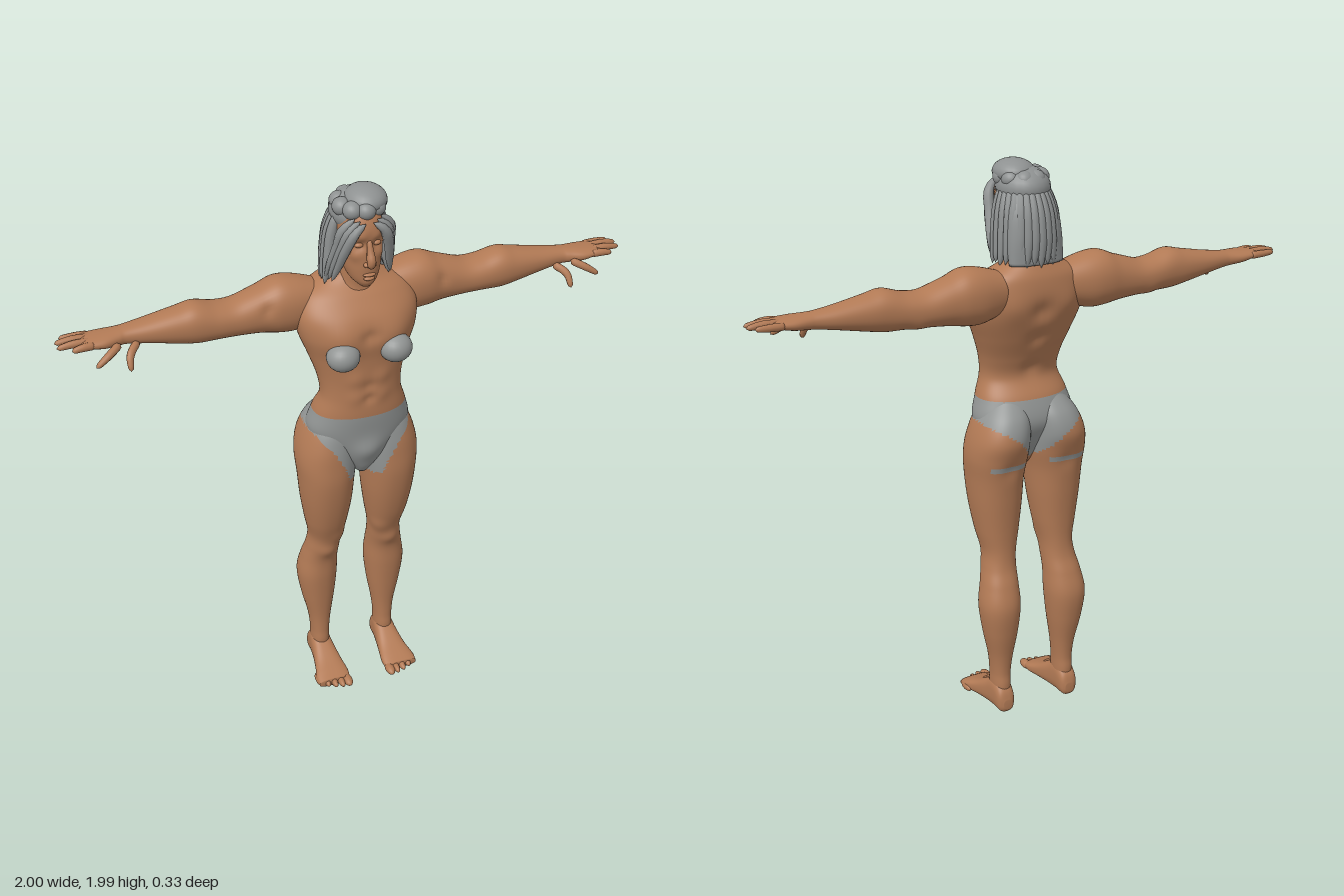
import * as THREE from 'three';
import { mergeVertices } from 'three/addons/utils/BufferGeometryUtils.js';

const mat = (name, color) => {
  const m = new THREE.MeshStandardMaterial({ color });
  m.name = name;
  return m;
};
const skin = mat('skin', 0xb27a55);
const cloth = mat('cloth', 0x929594);
const hair = mat('hair', 0x8e9191);

const spline = (a, b, c, d, t) =>
  b + 0.5 * t * (c - a + t * (2 * a - 5 * b + 4 * c - d + t * (3 * (b - c) + d - a)));

// Smooth loft along an axis (0 x, 1 y, 2 z). Row: [position, uMin, uMax, vMin, vMax],
// u and v being the next two axes. Bumps: [x, y, z, radius, push], mirrored in x.
function loft(axis, rows, { bumps = [], paint, power = 0.9, sub = 6, sides = 40 } = {}) {
  const pos = [], index = [[], []], u = (axis + 1) % 3, v = (axis + 2) % 3;
  const n = (rows.length - 1) * sub;
  for (let i = 0; i <= n; i++) {
    const k = Math.min(Math.floor(i / sub), rows.length - 2), t = i / sub - k;
    const at = (j) => rows[Math.max(0, Math.min(rows.length - 1, j))];
    const r = rows[0].map((_, c) => spline(at(k - 1)[c], at(k)[c], at(k + 1)[c], at(k + 2)[c], t));
    for (let j = 0; j < sides; j++) {
      const a = (j / sides) * Math.PI * 2, ca = Math.cos(a), sa = Math.sin(a), p = [0, 0, 0];
      p[axis] = r[0];
      p[u] = (r[1] + r[2]) / 2 + Math.sign(ca) * Math.abs(ca) ** power * (r[2] - r[1]) / 2;
      p[v] = (r[3] + r[4]) / 2 + Math.sign(sa) * Math.abs(sa) ** power * (r[4] - r[3]) / 2;
      let push = 0;
      for (const [x, y, z, rad, amt] of bumps)
        push += amt * Math.exp(-((Math.abs(p[0]) - x) ** 2 + (p[1] - y) ** 2 + (p[2] - z) ** 2) / (rad * rad));
      p[u] += ca * push;
      p[v] += sa * push;
      pos.push(...p);
    }
  }
  for (const e of [0, n]) {
    const c = [0, 0, 0], r = rows[e ? rows.length - 1 : 0];
    c[axis] = r[0]; c[u] = (r[1] + r[2]) / 2; c[v] = (r[3] + r[4]) / 2;
    pos.push(...c);
  }
  const tri = (...f) => {
    const mid = [0, 1, 2].map((c) => (pos[f[0] * 3 + c] + pos[f[1] * 3 + c] + pos[f[2] * 3 + c]) / 3);
    index[paint && paint(...mid) ? 1 : 0].push(...f);
  };
  const end = (n + 1) * sides;
  for (let j = 0; j < sides; j++) {
    const j2 = (j + 1) % sides;
    tri(end, j2, j);
    tri(end + 1, n * sides + j, n * sides + j2);
    for (let i = 0; i < n; i++) {
      const a = i * sides + j, b = i * sides + j2;
      tri(a, b, b + sides);
      tri(a, b + sides, a + sides);
    }
  }
  const g = new THREE.BufferGeometry();
  g.setAttribute('position', new THREE.Float32BufferAttribute(pos, 3));
  g.setIndex([...index[0], ...index[1]]);
  if (paint) {
    g.addGroup(0, index[0].length, 0);
    g.addGroup(index[0].length, index[1].length, 1);
  }
  g.computeVertexNormals();
  return g;
}

// Tapered tube with rounded ends; radii are spread evenly along the path
function strand(points, radii, segs = 14, sides = 10) {
  const curve = new THREE.CatmullRomCurve3(points.map((p) => new THREE.Vector3(...p)));
  let g = new THREE.TubeGeometry(curve, segs, 1, sides);
  const p = g.attributes.position, q = new THREE.Vector3();
  for (let i = 0; i <= segs; i++) {
    const t = i / segs, f = t * (radii.length - 1), k = Math.min(Math.floor(f), radii.length - 2);
    const r = (radii[k] + (radii[k + 1] - radii[k]) * (f - k)) * Math.sqrt(Math.max(0.002, 1 - Math.abs(2 * t - 1) ** 8));
    const c = curve.getPointAt(t);
    for (let j = 0; j <= sides; j++) {
      const id = i * (sides + 1) + j;
      q.fromBufferAttribute(p, id).sub(c).multiplyScalar(r).add(c);
      p.setXYZ(id, q.x, q.y, q.z);
    }
  }
  g.deleteAttribute('uv');
  g.deleteAttribute('normal');
  g = mergeVertices(g, 1e-5);
  g.computeVertexNormals();
  return g;
}

const blob = (x, y, z, rx, ry, rz) => new THREE.SphereGeometry(1, 24, 16).scale(rx, ry, rz).translate(x, y, z);

function mirrored(geo) {
  const g = geo.clone().scale(-1, 1, 1), a = g.index.array;
  for (let i = 0; i < a.length; i += 3) [a[i], a[i + 1]] = [a[i + 1], a[i]];
  return g;
}

const steps = (table, x) => {
  const i = Math.max(1, table.findIndex(([t]) => t >= x)), [x0, y0] = table[i - 1], [x1, y1] = table[i];
  return y0 + (y1 - y0) * Math.min(1, (x - x0) / (x1 - x0));
};
// Region covered by the briefs, with the thin band under each buttock
const frontEdge = [[0, 0.9], [0.06, 0.91], [0.08, 0.97], [0.12, 1.04], [0.17, 1.1], [0.5, 1.12]];
const backEdge = [[0, 0.95], [0.04, 1.0], [0.1, 1.065], [0.19, 1.11], [0.5, 1.12]];
const briefs = (x, y, z) => {
  const ax = Math.abs(x);
  if (z < -0.05 && y > 0.94 && y < 0.962 && ax > 0.05 && ax < 0.18) return true;
  return y < 1.18 && y > steps(z > 0 ? frontEdge : backEdge, ax);
};

export function createModel() {
  const model = new THREE.Group();
  const add = (name, geo, material) => {
    const m = new THREE.Mesh(geo, material);
    m.name = name;
    model.add(m);
  };
  const pair = (name, geo, material) => {
    add(name + 'Left', geo, material);
    add(name + 'Right', mirrored(geo), material);
  };
  const even = (rows) => rows.map(([y, zb, zf, w]) => [y, zb, zf, -w, w]);

  // Torso with chest, belly, spine and shoulder blade relief
  add('torso', loft(1, even([
    [0.92, -0.03, 0.06, 0.025], [0.96, -0.06, 0.085, 0.055], [1.03, -0.1, 0.1, 0.13], [1.1, -0.125, 0.108, 0.182],
    [1.18, -0.105, 0.115, 0.166], [1.25, -0.068, 0.113, 0.143], [1.32, -0.085, 0.112, 0.15], [1.4, -0.12, 0.115, 0.176],
    [1.48, -0.15, 0.122, 0.205], [1.55, -0.16, 0.105, 0.212], [1.61, -0.155, 0.06, 0.185], [1.65, -0.14, 0.02, 0.12],
    [1.685, -0.12, 0, 0.05]]), {
    paint: briefs, sub: 9, sides: 64,
    bumps: [[0.09, 1.49, 0.12, 0.06, 0.012], [0, 1.49, 0.12, 0.025, -0.012], [0, 1.3, 0.11, 0.02, -0.006], [0, 1.25, 0.11, 0.018, -0.008],
      [0.045, 1.33, 0.11, 0.03, 0.006], [0.045, 1.26, 0.11, 0.03, 0.005], [0, 1.5, -0.16, 0.035, -0.014], [0, 1.4, -0.12, 0.03, -0.012],
      [0, 1.28, -0.08, 0.03, -0.01], [0.1, 1.52, -0.15, 0.05, 0.008], [0, 1.03, 0.11, 0.045, 0.016]],
  }), [skin, cloth]);

  // Legs, with buttock, kneecap and calf
  pair('leg', loft(1, [
    [0.03, -0.12, -0.035, 0.095, 0.16], [0.1, -0.125, -0.025, 0.095, 0.162], [0.15, -0.122, -0.027, 0.094, 0.162],
    [0.22, -0.13, -0.025, 0.086, 0.17], [0.32, -0.15, -0.015, 0.07, 0.192], [0.42, -0.16, -0.005, 0.06, 0.205],
    [0.5, -0.14, 0, 0.061, 0.193], [0.56, -0.118, 0.015, 0.06, 0.18], [0.62, -0.11, 0.03, 0.056, 0.174],
    [0.7, -0.112, 0.06, 0.04, 0.19], [0.8, -0.12, 0.085, 0.026, 0.206], [0.9, -0.13, 0.1, 0.018, 0.215],
    [0.98, -0.147, 0.1, 0.007, 0.22], [1.05, -0.162, 0.095, 0.006, 0.208], [1.12, -0.142, 0.08, 0.005, 0.178],
    [1.18, -0.09, 0.04, 0.02, 0.13]], {
    paint: briefs, sub: 8, sides: 48,
    bumps: [[0.12, 0.56, 0.015, 0.03, 0.008], [0.075, 0.63, 0.02, 0.035, 0.008], [0.11, 0.945, -0.14, 0.035, -0.008]],
  }), [skin, cloth]);

  // Feet and toes
  pair('foot', loft(2, [
    [-0.14, 0.112, 0.145, 0.015, 0.05], [-0.125, 0.098, 0.162, 0, 0.09], [-0.08, 0.092, 0.167, 0, 0.125],
    [-0.03, 0.086, 0.172, 0, 0.1], [0.03, 0.077, 0.183, 0, 0.066], [0.08, 0.07, 0.196, 0, 0.045],
    [0.115, 0.075, 0.195, 0.003, 0.032]], { power: 0.75 }), skin);
  for (let i = 0; i < 5; i++)
    pair('toe' + (i + 1), blob(0.086 + i * 0.0255, 0.016, 0.12 - i * i * 0.0025, i ? 0.012 : 0.017, i ? 0.014 : 0.016, 0.033), skin);

  // Arms from shoulder to palm
  pair('arm', loft(0, [
    [0.12, 1.5, 1.64, -0.14, 0], [0.2, 1.475, 1.663, -0.16, 0.012], [0.26, 1.475, 1.667, -0.163, 0.012],
    [0.32, 1.485, 1.643, -0.156, 0.002], [0.4, 1.492, 1.615, -0.148, -0.003], [0.47, 1.495, 1.618, -0.143, 0],
    [0.54, 1.495, 1.636, -0.137, 0.002], [0.6, 1.505, 1.625, -0.132, -0.004], [0.7, 1.525, 1.606, -0.12, -0.018],
    [0.77, 1.537, 1.596, -0.108, -0.027], [0.8, 1.54, 1.593, -0.107, -0.022], [0.85, 1.545, 1.59, -0.112, -0.008],
    [0.9, 1.557, 1.586, -0.108, -0.01], [0.92, 1.563, 1.58, -0.1, -0.016]], {
    bumps: [[0.37, 1.6, -0.07, 0.05, 0.006], [0.44, 1.5, -0.13, 0.03, 0.006], [0.31, 1.59, 0, 0.02, -0.008]],
  }), skin);
  const digits = [
    [[0.88, 1.57, -0.098], [0.94, 1.572, -0.1], [0.98, 1.573, -0.1]],
    [[0.88, 1.573, -0.073], [0.95, 1.577, -0.073], [1.0, 1.572, -0.073]],
    [[0.88, 1.573, -0.047], [0.95, 1.575, -0.044], [0.998, 1.57, -0.042]],
    [[0.88, 1.57, -0.022], [0.92, 1.572, -0.016], [0.955, 1.568, -0.012]],
    [[0.8, 1.56, -0.02], [0.845, 1.54, 0.008], [0.89, 1.512, 0.022]],
    [[0.74, 1.55, -0.035], [0.775, 1.525, 0.005], [0.782, 1.482, 0.032]]];
  digits.forEach((d, i) => pair('finger' + (i + 1), strand(d, [0.014, 0.013, 0.009]), skin));

  // Neck and head
  add('neck', loft(1, even([[1.58, -0.11, 0.05, 0.085], [1.64, -0.095, 0.04, 0.06], [1.69, -0.085, 0.045, 0.053], [1.76, -0.08, 0.05, 0.05]])), skin);
  add('head', loft(1, even([
    [1.665, 0.035, 0.085, 0.018], [1.69, -0.02, 0.101, 0.044], [1.73, -0.06, 0.107, 0.06], [1.78, -0.09, 0.108, 0.068],
    [1.83, -0.1, 0.109, 0.074], [1.88, -0.1, 0.11, 0.076], [1.93, -0.085, 0.085, 0.066], [1.965, -0.04, 0.035, 0.03]]), {
    sub: 8, sides: 56,
    bumps: [[0.03, 1.822, 0.105, 0.02, -0.013], [0.03, 1.85, 0.11, 0.02, 0.006], [0.045, 1.785, 0.09, 0.02, 0.006], [0, 1.685, 0.09, 0.018, 0.006]],
  }), skin);
  add('nose', strand([[0, 1.845, 0.102], [0, 1.8, 0.115], [0, 1.763, 0.125], [0, 1.75, 0.11]], [0.008, 0.011, 0.016, 0.012]), skin);
  add('upperLip', blob(0, 1.718, 0.107, 0.022, 0.006, 0.01), skin);
  add('lowerLip', blob(0, 1.704, 0.104, 0.019, 0.007, 0.011), skin);
  pair('nostril', blob(0.013, 1.757, 0.112, 0.009, 0.008, 0.011), skin);
  pair('eye', blob(0.03, 1.822, 0.09, 0.015, 0.009, 0.012), skin);
  pair('ear', blob(0.078, 1.79, -0.01, 0.012, 0.033, 0.02), skin);

  // Top cups
  pair('cup', blob(0.093, 1.433, 0.11, 0.057, 0.05, 0.055), cloth);

  // Hair: crown, rolled tuft, hanging mass
  add('hairCrown', blob(0, 1.9, -0.012, 0.09, 0.07, 0.103), hair);
  add('hairTop', blob(0.02, 1.945, 0.015, 0.07, 0.045, 0.08), hair);
  add('hairBack', loft(1, even([[1.66, -0.14, -0.07, 0.1], [1.75, -0.14, -0.04, 0.1], [1.84, -0.125, -0.02, 0.09], [1.92, -0.09, 0, 0.06]])), hair);
  for (let i = 0; i < 9; i++) {
    const a = (i / 9) * Math.PI * 2;
    add('hairRoll', blob(0.062 * Math.sin(a), 1.93, 0.005 + 0.07 * Math.cos(a), 0.032, 0.03, 0.034), hair);
  }
  // Hanging locks around the back and sides
  for (let i = 0; i < 17; i++) {
    const a = ((i - 8) / 8) * 1.75, s = Math.sin(a), c = Math.cos(a);
    add('hairLock', strand([[0.07 * s, 1.91, -0.01 - 0.08 * c], [0.092 * s, 1.83, -0.02 - 0.107 * c],
      [0.102 * s, 1.73, -0.025 - 0.115 * c], [0.115 * s, 1.65 + 0.008 * (i % 2), -0.028 - 0.112 * c]], [0.015, 0.018, 0.019, 0.009]), hair);
  }
  // Swept front locks
  for (let i = 0; i < 3; i++) {
    const o = i * 0.016;
    pair('frontLock', strand([[0.012 + o, 1.9 + o / 2, 0.108 - o / 2], [0.048 + o, 1.875, 0.11 - o], [0.074 + o / 2, 1.81, 0.088 - o],
      [0.088 + o / 2, 1.74, 0.058 - o], [0.102 + o / 3, 1.675, 0.03 - o]], [0.011, 0.018, 0.017, 0.013, 0.006]), hair);
  }
  return model;
}
